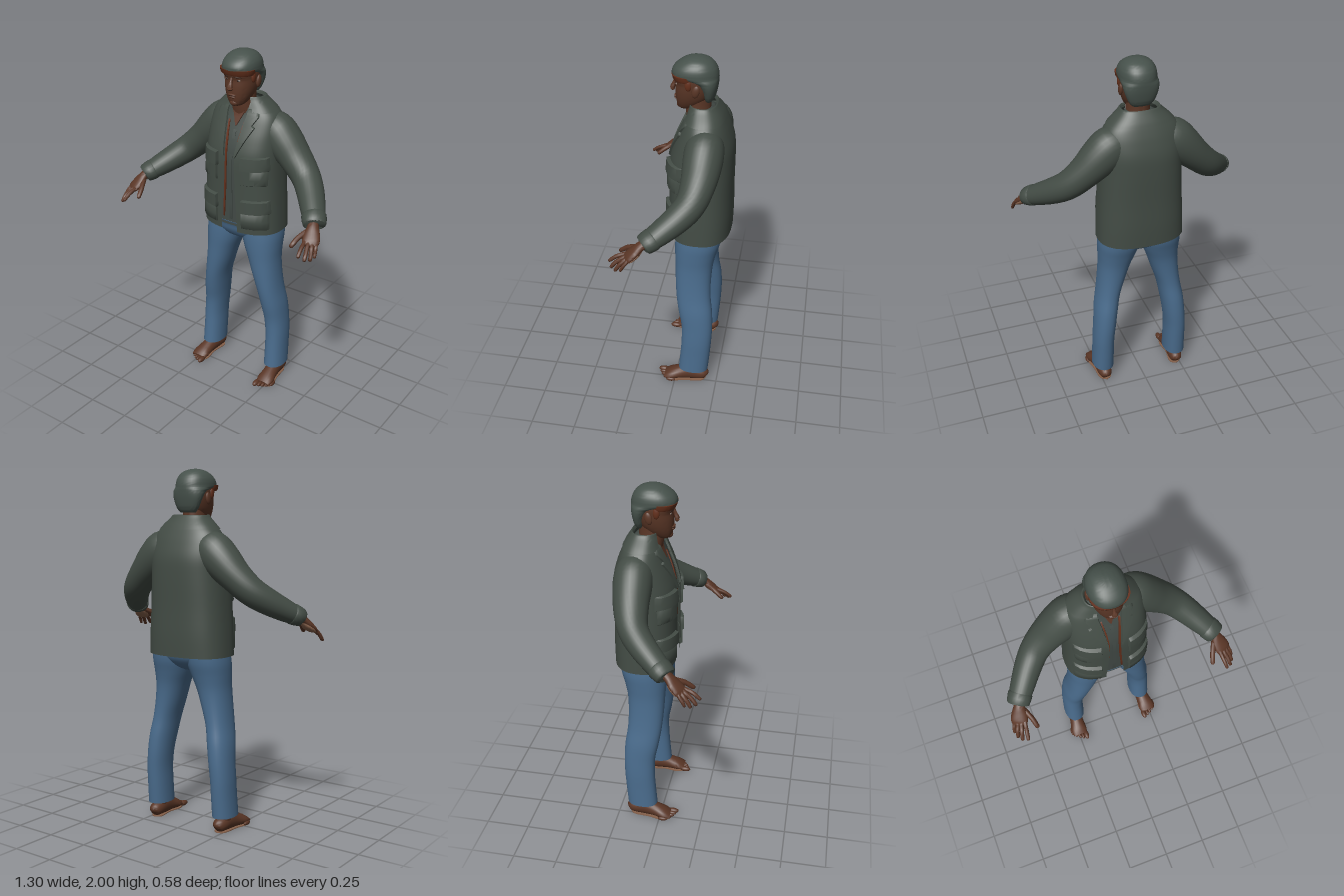
import * as THREE from 'three';
import { toCreasedNormals } from 'three/addons/utils/BufferGeometryUtils.js';

const mat = (name, color, side = THREE.FrontSide) => {
  const m = new THREE.MeshStandardMaterial({ color, side });
  m.name = name;
  return m;
};

// Catmull-Rom resampling of numeric rows
function smooth(rows, k = 4) {
  const out = [], n = rows.length;
  for (let i = 0; i < n - 1; i++) {
    const a = rows[Math.max(i - 1, 0)], b = rows[i], c = rows[i + 1], d = rows[Math.min(i + 2, n - 1)];
    for (let s = 0; s < k; s++) {
      const t = s / k;
      out.push(b.map((v, j) => {
        const cubic = 3 * (v - c[j]) + d[j] - a[j];
        const square = 2 * a[j] - 5 * v + 4 * c[j] - d[j];
        return v + 0.5 * t * (c[j] - a[j] + t * (square + t * cubic));
      }));
    }
  }
  out.push(rows[n - 1].slice());
  return out;
}

// Skin a list of point rings, with optional end caps
function skinRings(rings, capped = true) {
  const n = rings[0].length, pos = rings.flat(2), idx = [];
  for (let i = 0; i < rings.length - 1; i++)
    for (let j = 0; j < n - 1; j++) {
      const a = i * n + j, b = a + n;
      idx.push(a, b, a + 1, a + 1, b, b + 1);
    }
  if (capped) [0, rings.length - 1].forEach((r, e) => {
    const c = [0, 1, 2].map(k => rings[r].slice(1).reduce((s, p) => s + p[k], 0) / (n - 1));
    const m = pos.length / 3;
    pos.push(...c);
    for (let j = 0; j < n - 1; j++) {
      const a = r * n + j;
      idx.push(m, e ? a + 1 : a, e ? a : a + 1);
    }
  });
  const g = new THREE.BufferGeometry();
  g.setAttribute('position', new THREE.Float32BufferAttribute(pos, 3));
  g.setIndex(idx);
  return toCreasedNormals(g, 1);
}

const spow = (v, p) => Math.sign(v) * Math.abs(v) ** p;

// Upright body from rows [y, front z, back z, half width, front gap], at x centre cx(y)
function upright(rows, { e = 2.5, n = 40, capped = true, cx = () => 0 } = {}) {
  return skinRings(rows.map(([y, f, b, w, gap = 0]) => {
    const d = Math.asin(Math.min(1, gap / w) ** (e / 2));
    return Array.from({ length: n + 1 }, (_, j) => {
      const t = Math.PI / 2 + d + (2 * Math.PI - 2 * d) * j / n;
      return [cx(y) + w * spow(Math.cos(t), 2 / e), y, (f + b) / 2 + (f - b) / 2 * spow(Math.sin(t), 2 / e)];
    });
  }), capped);
}

// Limb along a path from rows [x, y, z, side radius, upper radius]
function limb(rows, { k = 4, n = 20, floor = -1 } = {}) {
  const r = smooth(rows, k), Y = new THREE.Vector3(0, 1, 0);
  const at = i => new THREE.Vector3(...r[Math.min(Math.max(i, 0), r.length - 1)].slice(0, 3));
  return skinRings(r.map((q, i) => {
    const T = at(i + 1).sub(at(i - 1)).normalize();
    const A = T.clone().cross(Y).normalize(), B = A.clone().cross(T);
    return Array.from({ length: n + 1 }, (_, j) => {
      const t = 2 * Math.PI * j / n;
      const p = at(i).addScaledVector(A, q[3] * Math.cos(t)).addScaledVector(B, q[4] * Math.sin(t));
      return [p.x, Math.max(p.y, floor), p.z];
    });
  }));
}

// Front surface depth of an upright body
function frontZ(rows, x, y) {
  let i = 0;
  while (i < rows.length - 2 && rows[i + 1][0] < y) i++;
  const t = Math.min(1, Math.max(0, (y - rows[i][0]) / (rows[i + 1][0] - rows[i][0])));
  const [, f, b, w] = rows[i].map((v, j) => v + (rows[i + 1][j] - v) * t);
  return (f + b) / 2 + (f - b) / 2 * (1 - Math.min(1, Math.abs(x / w)) ** 2.5) ** 0.4;
}

// Panel lying on a body front, rows [y, x0, x1] rising; its border sinks into the surface
function panel(body, rows, off, s = 1) {
  const cols = [0, 0.04, 0.2, 0.4, 0.6, 0.8, 0.96, 1], fine = [rows[0]];
  for (let i = 1; i < rows.length; i++)
    for (const t of [0.08, 0.4, 0.92, 1]) fine.push(rows[i].map((v, j) => rows[i - 1][j] + (v - rows[i - 1][j]) * t));
  return skinRings(fine.map(([y, a, b], i) => {
    const lo = Math.min(s * a, s * b), hi = Math.max(s * a, s * b);
    return cols.map((u, j) => {
      const x = lo + (hi - lo) * u, edge = i === 0 || i === fine.length - 1 || j === 0 || j === 7;
      return [x, y, frontZ(body, x, y) + (edge ? -0.002 : off)];
    }).reverse();
  }), false);
}

export function createModel() {
  const M = {
    jacket: mat('jacket cloth', 0x434c45, THREE.DoubleSide),
    shirt: mat('shirt cloth', 0x424a46),
    hair: mat('hair', 0x46514b),
    denim: mat('denim', 0x4a6c8d),
    skin: mat('skin', 0x5a3626),
    palm: mat('palm skin', 0x85604a),
    rust: mat('rust trim', 0x64301c),
    eye: mat('eye', 0x8d8078),
    dark: mat('dark brown', 0x2a1a14),
  };
  const root = new THREE.Group();
  root.name = 'standingMan';
  const add = (name, geo, m) => {
    const mesh = new THREE.Mesh(geo, m);
    mesh.name = name;
    root.add(mesh);
    return mesh;
  };
  const ball = (name, m, x, y, z, a, b, c) => {
    const o = add(name, new THREE.SphereGeometry(1, 16, 12), m);
    o.position.set(x, y, z);
    o.scale.set(a, b, c);
    return o;
  };

  // Jacket, open down the front
  const jacket = smooth([
    [0.985, 0.058, -0.287, 0.245, 0.052], [1.1, 0.062, -0.29, 0.24, 0.048], [1.25, 0.062, -0.288, 0.232, 0.038],
    [1.42, 0.06, -0.289, 0.225, 0.033], [1.52, 0.035, -0.284, 0.222, 0.04], [1.6, 0.002, -0.262, 0.215, 0.05],
    [1.655, -0.022, -0.24, 0.195, 0.058], [1.695, -0.04, -0.22, 0.155, 0.06], [1.72, -0.05, -0.203, 0.118, 0.06],
    [1.742, -0.055, -0.187, 0.1, 0.06]]);
  add('jacketBody', upright(jacket, { capped: false, n: 56 }), M.jacket);
  add('collar', upright(smooth([[1.675, -0.02, -0.236, 0.182, 0.09], [1.7, -0.03, -0.223, 0.158, 0.08],
    [1.735, -0.04, -0.2, 0.12, 0.065], [1.752, -0.045, -0.187, 0.104, 0.06], [1.735, -0.055, -0.178, 0.092, 0.06]]),
    { capped: false }), M.jacket);

  // Shirt and the skin shown in its neckline
  const shirt = smooth([[1.01, 0.04, -0.26, 0.225], [1.25, 0.043, -0.265, 0.215], [1.42, 0.042, -0.265, 0.205],
    [1.52, 0.02, -0.26, 0.2], [1.6, -0.012, -0.24, 0.19], [1.655, -0.034, -0.215, 0.165],
    [1.7, -0.045, -0.19, 0.11], [1.725, -0.05, -0.17, 0.07]]);
  add('shirt', upright(shirt), M.shirt);
  add('neckline', panel(shirt, [[1.59, -0.002, 0.002], [1.64, -0.025, 0.025], [1.7, -0.052, 0.052]], 0.006), M.skin);
  add('placket', panel(shirt, [[1.04, -0.01, 0.01], [1.3, -0.01, 0.01], [1.58, -0.01, 0.01]], 0.004), M.shirt);

  // Hips
  add('hips', upright(smooth([[0.895, -0.06, -0.15, 0.05], [0.92, -0.01, -0.2, 0.13], [0.96, 0.018, -0.235, 0.205],
    [1.0, 0.03, -0.25, 0.226], [1.03, 0.043, -0.255, 0.222]])), M.denim);

  // Neck, head and hair
  add('neck', upright(smooth([[1.6, -0.04, -0.17, 0.08], [1.67, -0.025, -0.16, 0.07], [1.73, -0.018, -0.155, 0.063],
    [1.8, -0.02, -0.155, 0.062]]), { e: 2 }), M.skin);
  add('head', upright(smooth([[1.707, 0.0, -0.04, 0.018], [1.718, 0.018, -0.07, 0.04], [1.745, 0.027, -0.11, 0.06],
    [1.78, 0.032, -0.145, 0.076], [1.82, 0.033, -0.165, 0.086], [1.86, 0.032, -0.175, 0.09], [1.885, 0.042, -0.178, 0.091],
    [1.93, 0.03, -0.17, 0.085], [1.97, -0.02, -0.13, 0.05]]), { e: 2.2 }), M.skin);
  add('hair', upright(smooth([[1.765, -0.125, -0.163, 0.05], [1.79, -0.115, -0.178, 0.07], [1.84, -0.1, -0.189, 0.09],
    [1.88, -0.06, -0.193, 0.098], [1.902, 0.04, -0.193, 0.1], [1.92, 0.052, -0.191, 0.1], [1.95, 0.036, -0.18, 0.093],
    [1.978, 0.0, -0.155, 0.072], [1.994, -0.035, -0.12, 0.042], [2.0, -0.065, -0.09, 0.012]]), { e: 2.2 }), M.hair);
  add('hairline', upright([[1.882, 0.042, -0.1, 0.093], [1.892, 0.048, -0.1, 0.098], [1.912, 0.053, -0.1, 0.1]], { e: 2.2 }), M.rust);
  add('nose', limb([[0, 1.872, 0.03, 0.007, 0.008], [0, 1.845, 0.04, 0.009, 0.01], [0, 1.818, 0.05, 0.016, 0.013],
    [0, 1.805, 0.044, 0.012, 0.008]], { n: 12 }), M.skin);
  ball('upperLip', M.skin, 0, 1.776, 0.03, 0.026, 0.006, 0.011);
  ball('lowerLip', M.skin, 0, 1.764, 0.029, 0.022, 0.007, 0.011);
  ball('mouthLine', M.dark, 0, 1.77, 0.031, 0.024, 0.0015, 0.0085);
  ball('chin', M.skin, 0, 1.728, 0.012, 0.025, 0.018, 0.016);

  for (const s of [1, -1]) {
    const side = s > 0 ? 'left' : 'right';
    const put = (name, geo, m) => add(side + name, geo, m);
    const mx = rows => rows.map(([x, ...r]) => [s * x, ...r]);

    // Face details
    ball(side + 'Eye', M.eye, s * 0.035, 1.856, 0.021, 0.013, 0.0055, 0.007);
    ball(side + 'Iris', M.dark, s * 0.035, 1.856, 0.026, 0.005, 0.005, 0.003);
    ball(side + 'Brow', M.dark, s * 0.036, 1.874, 0.028, 0.02, 0.0035, 0.007).rotation.y = s * 0.3;
    ball(side + 'Ear', M.skin, s * 0.093, 1.84, -0.085, 0.011, 0.034, 0.02).rotation.x = -0.2;
    ball(side + 'Sideburn', M.rust, s * 0.087, 1.87, -0.045, 0.01, 0.032, 0.018);

    // Lapel, opening trim and pockets
    put('Lapel', panel(jacket, [[1.43, 0.033, 0.038], [1.52, 0.042, 0.08], [1.6, 0.052, 0.122],
      [1.61, 0.053, 0.105], [1.655, 0.06, 0.13], [1.69, 0.062, 0.12]], 0.011, s), M.jacket);
    put('OpeningTrim', panel(shirt, [[1.05, 0.043, 0.052], [1.25, 0.03, 0.042], [1.42, 0.025, 0.036],
      [1.52, 0.031, 0.044], [1.62, 0.045, 0.055]], 0.006, s), M.rust);
    put('ChestPocket', panel(jacket, [[1.28, 0.078, 0.208], [1.38, 0.078, 0.208]], 0.013, s), M.jacket);
    put('ChestPocketFlap', panel(jacket, [[1.365, 0.072, 0.213], [1.45, 0.075, 0.208]], 0.02, s), M.jacket);
    put('HipPocket', panel(jacket, [[1.015, 0.08, 0.222], [1.14, 0.08, 0.218]], 0.013, s), M.jacket);
    put('HipPocketFlap', panel(jacket, [[1.11, 0.074, 0.225], [1.195, 0.078, 0.218]], 0.02, s), M.jacket);

    // Sleeve and cuff
    put('Sleeve', limb(mx([[0.1, 1.585, -0.145, 0.085, 0.08], [0.165, 1.56, -0.147, 0.103, 0.11], [0.23, 1.505, -0.145, 0.104, 0.105],
      [0.31, 1.427, -0.135, 0.093, 0.088], [0.39, 1.352, -0.108, 0.081, 0.079], [0.455, 1.298, -0.05, 0.075, 0.072],
      [0.525, 1.242, 0.035, 0.066, 0.06], [0.568, 1.21, 0.092, 0.057, 0.047]]), { n: 28 }), M.jacket);
    put('Cuff', limb(mx([[0.543, 1.228, 0.058, 0.06, 0.052], [0.546, 1.226, 0.062, 0.067, 0.058],
      [0.573, 1.206, 0.1, 0.062, 0.05], [0.575, 1.204, 0.103, 0.05, 0.038]]), { k: 2, n: 28 }), M.jacket);

    // Hand with fingers
    put('Hand', limb(mx([[0.556, 1.217, 0.08, 0.03, 0.024], [0.573, 1.196, 0.115, 0.031, 0.023], [0.585, 1.168, 0.145, 0.043, 0.022],
      [0.598, 1.142, 0.176, 0.046, 0.017], [0.606, 1.127, 0.192, 0.038, 0.01]])), M.skin);
    put('Palm', limb(mx([[0.574, 1.182, 0.113, 0.018, 0.012], [0.585, 1.158, 0.138, 0.036, 0.017],
      [0.597, 1.135, 0.167, 0.04, 0.014], [0.605, 1.122, 0.184, 0.03, 0.006]])), M.palm);
    const fingers = [
      ['Thumb', [0.556, 1.178, 0.135], [0.53, 1.15, 0.19], [0.514, 1.112, 0.24], 0.014],
      ['IndexFinger', [0.573, 1.142, 0.192], [0.58, 1.122, 0.243], [0.587, 1.092, 0.284], 0.011],
      ['MiddleFinger', [0.592, 1.138, 0.19], [0.607, 1.11, 0.235], [0.616, 1.074, 0.268], 0.0115],
      ['RingFinger', [0.611, 1.136, 0.182], [0.626, 1.104, 0.217], [0.635, 1.068, 0.242], 0.011],
      ['LittleFinger', [0.626, 1.138, 0.168], [0.638, 1.108, 0.194], [0.643, 1.076, 0.212], 0.0095]];
    for (const [name, a, b, c, r] of fingers) {
      const near = b.map((v, i) => v + (c[i] - v) * 0.85);
      put(name, limb(mx([[...a, r, r], [...b, r, r], [...near, r * 0.85, r * 0.8], [...c, r * 0.35, r * 0.3]]), { n: 10, k: 3 }), M.skin);
    }

    // Trouser leg: rows [y, front, back, half width, centre x]
    const leg = smooth([[0.085, -0.02, -0.195, 0.062, 0.229], [0.2, -0.03, -0.205, 0.061, 0.227], [0.3, -0.036, -0.212, 0.061, 0.225],
      [0.4, -0.034, -0.215, 0.063, 0.216], [0.5, -0.015, -0.21, 0.066, 0.204], [0.6, 0.0, -0.197, 0.067, 0.186],
      [0.7, 0.008, -0.195, 0.077, 0.164], [0.8, 0.012, -0.202, 0.09, 0.144], [0.88, 0.016, -0.22, 0.107, 0.129],
      [0.95, 0.016, -0.24, 0.117, 0.12], [1.03, 0.01, -0.25, 0.113, 0.115]]);
    const centre = new Map(leg.map(r => [r[0], s * r[4]]));
    put('TrouserLeg', upright(leg.map(r => r.slice(0, 4)), { e: 2.2, n: 32, cx: y => centre.get(y) }), M.denim);

    // Bare foot, ankle, toes and sole
    put('Ankle', upright([[0.03, -0.075, -0.175, 0.035], [0.08, -0.07, -0.165, 0.04], [0.15, -0.07, -0.165, 0.042]],
      { e: 2, n: 20, cx: () => s * 0.231 }), M.skin);
    put('Foot', limb(mx([[0.226, 0.03, -0.192, 0.012, 0.014], [0.227, 0.037, -0.18, 0.032, 0.033], [0.229, 0.044, -0.145, 0.041, 0.043],
      [0.232, 0.05, -0.09, 0.041, 0.052], [0.237, 0.04, -0.03, 0.043, 0.041], [0.242, 0.027, 0.025, 0.051, 0.029],
      [0.242, 0.018, 0.06, 0.045, 0.015]]), { floor: 0.004 }), M.skin);
    for (let i = 0; i < 5; i++)
      ball(side + 'Toe' + (i + 1), M.skin, s * (0.207 + 0.0195 * i + (i ? 0.004 : 0)), 0.016 - i * 0.001, 0.074 - 0.0025 * i * i - 0.003 * i,
        i ? 0.0105 : 0.0165, i ? 0.012 : 0.016, i ? 0.028 : 0.033);
    const outline = [[0.226, -0.185], [0.262, -0.155], [0.272, -0.06], [0.29, 0.02], [0.268, 0.058],
      [0.215, 0.07], [0.192, 0.02], [0.203, -0.06], [0.192, -0.155], [0.226, -0.185]];
    const curve = new THREE.SplineCurve(outline.map(([x, z]) => new THREE.Vector2(s * x, -z)));
    const sole = new THREE.ExtrudeGeometry(new THREE.Shape(curve.getPoints(36)), { depth: 0.005, bevelEnabled: false });
    put('Sole', sole.rotateX(-Math.PI / 2), M.palm);
  }
  return root;
}
